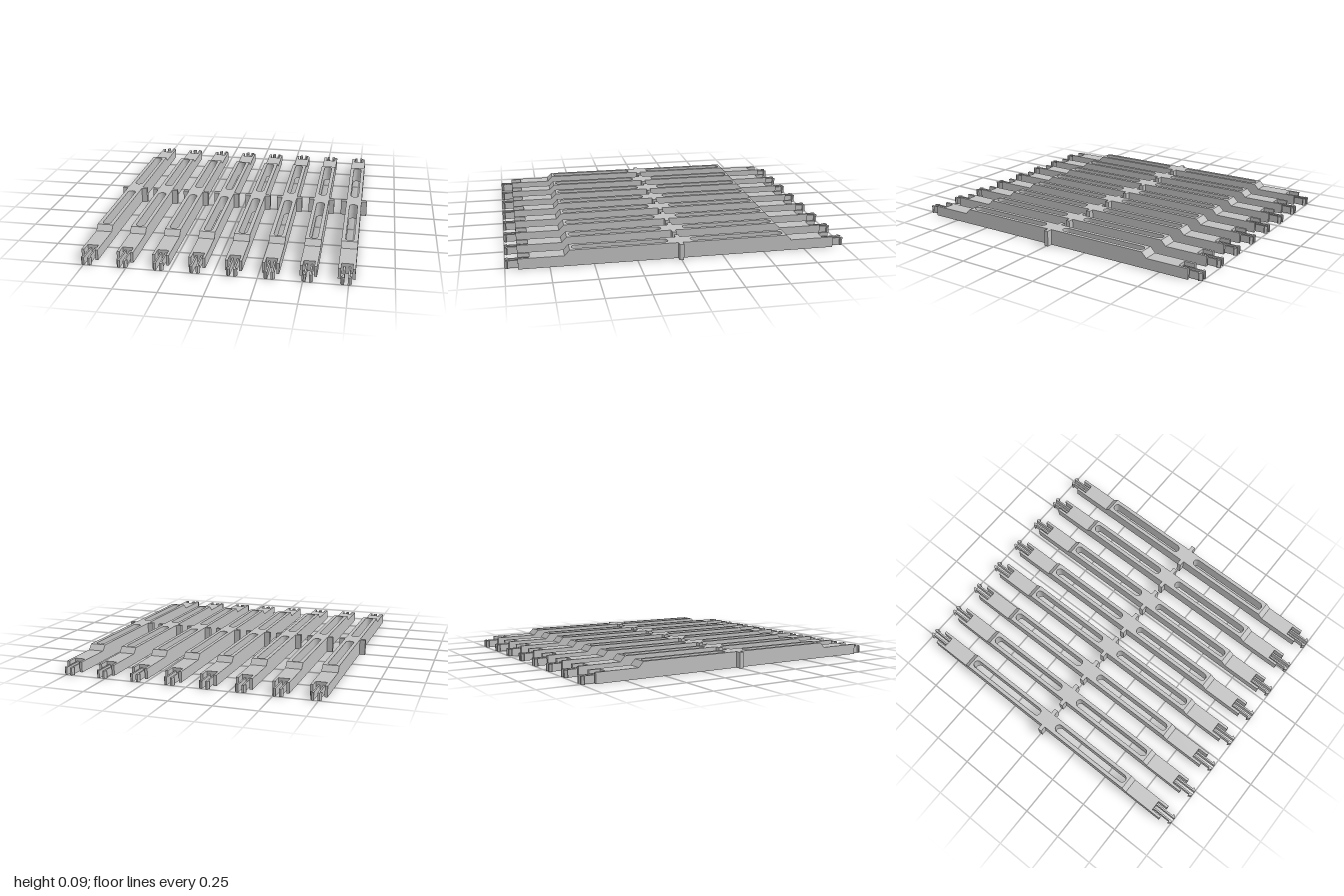
import * as THREE from 'three';

const HALF = 0.048;      // half width of a bar
const TALL = 0.095;      // height of the raised middle
const LOW = 0.063;       // height of the end shoulders
const RAMP = [0.637, 0.667];

function outline(points) {
  return new THREE.Shape(points.map(([x, y]) => new THREE.Vector2(x, y)));
}

// Plan drawn in (x, z), raised from y = 0 to the given height
function raise(shape, height) {
  const g = new THREE.ExtrudeGeometry(shape, { depth: height, bevelEnabled: false, curveSegments: 12 });
  g.rotateX(-Math.PI / 2);  // plan y becomes -z; every plan is used at both ends
  return g;
}

// Long slot with round ends
function slot(z0, z1, r) {
  const p = new THREE.Path();
  p.absarc(0, z1 - r, r, 0, Math.PI, false);
  p.absarc(0, z0 + r, r, Math.PI, Math.PI * 2, false);
  p.closePath();
  return p;
}

export function createModel() {
  const model = new THREE.Group();
  model.name = 'crossbarSet';
  const grey = new THREE.MeshStandardMaterial({ color: 0xc0c0c0 });
  grey.name = 'light grey';

  // Raised middle with side stubs and two slots
  const s = 0.083, t = 0.013, e = RAMP[0];
  const plan = outline([
    [-HALF, -e], [HALF, -e], [HALF, -t], [s, -t], [s, t], [HALF, t],
    [HALF, e], [-HALF, e], [-HALF, t], [-s, t], [-s, -t], [-HALF, -t],
  ]);
  plan.holes.push(slot(0.067, 0.623, 0.025), slot(-0.623, -0.067, 0.025));
  const middleGeo = raise(plan, TALL);

  // Sloped step, a side profile swept across the bar
  const rampGeo = new THREE.ExtrudeGeometry(
    outline([[-RAMP[1], 0], [-RAMP[0], 0], [-RAMP[0], TALL], [-RAMP[1], LOW]]),
    { depth: HALF * 2, bevelEnabled: false });
  rampGeo.translate(0, 0, -HALF).rotateY(Math.PI / 2);

  // Low shoulder ending in a fork
  const n = 0.032, root = 0.862, fork = 0.927;
  const shoulderGeo = raise(outline([
    [-HALF, -fork], [-n, -fork], [-n, -root], [n, -root], [n, -fork], [HALF, -fork],
    [HALF, -RAMP[1]], [-HALF, -RAMP[1]],
  ]), LOW);

  // Barbed snap prong, one per side of the clip
  const prongGeos = [1, -1].map((side) => {
    const pts = [[0.01, -root], [0.01, -1], [0.021, -1], [0.031, -0.986], [0.031, -0.981], [0.02, -0.981], [0.02, -root]];
    return raise(outline(pts.map(([x, z]) => [x * side, z])), 0.045);
  });

  function add(parent, name, geometry) {
    const mesh = new THREE.Mesh(geometry, grey);
    mesh.name = name;
    parent.add(mesh);
  }

  // Eight equal bars side by side
  for (let i = 0; i < 8; i++) {
    const bar = new THREE.Group();
    bar.name = 'bar' + (i + 1);
    bar.position.x = (i - 3.5) * 0.21;
    add(bar, 'slottedMiddle', middleGeo);
    for (const front of [true, false]) {
      const end = new THREE.Group();
      end.name = front ? 'frontEnd' : 'backEnd';
      if (!front) end.rotation.y = Math.PI;
      add(end, 'ramp', rampGeo);
      add(end, 'forkedShoulder', shoulderGeo);
      add(end, 'leftProng', prongGeos[0]);
      add(end, 'rightProng', prongGeos[1]);
      bar.add(end);
    }
    model.add(bar);
  }
  return model;
}
